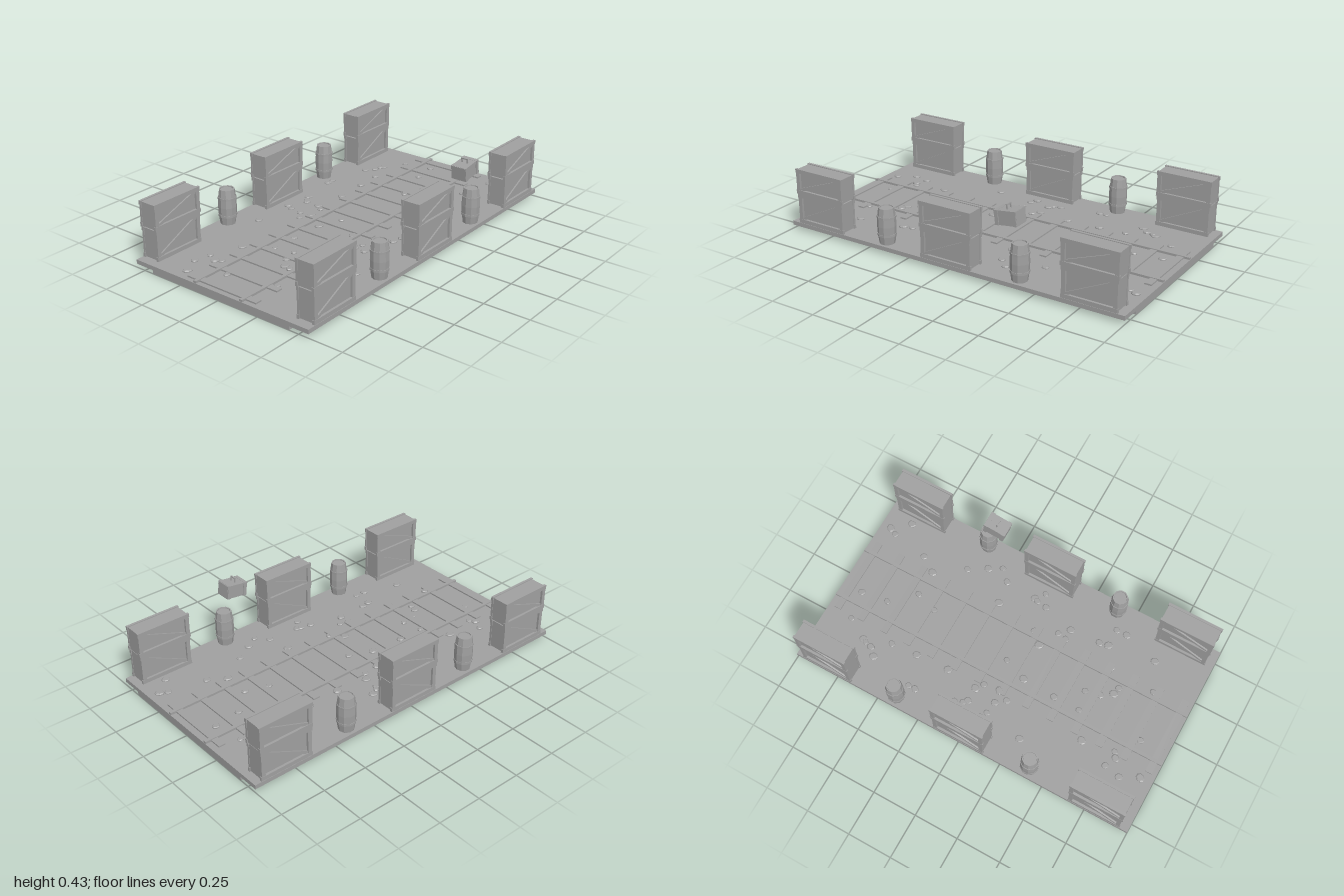
import * as THREE from 'three';

const grey = new THREE.MeshStandardMaterial({ color: 0xa0a0a0, flatShading: true });
grey.name = 'grey';

const FLOOR = 0.043;

function add(parent, name, geometry, x = 0, y = 0, z = 0) {
  const mesh = new THREE.Mesh(geometry, grey);
  mesh.name = name;
  mesh.position.set(x, y, z);
  parent.add(mesh);
  return mesh;
}
const box = (parent, name, w, h, d, x, y, z) => add(parent, name, new THREE.BoxGeometry(w, h, d), x, y, z);

// Crate standing on y = 0: solid core, framed long sides with a diagonal brace
function crate(h, w, d) {
  const g = new THREE.Group();
  g.name = 'crate';
  const t = 0.012, bar = 0.022;
  box(g, 'crateCore', w - 2 * t, h - 0.008, d - 0.01, 0, h / 2, 0);
  for (const s of [-1, 1]) {
    const x = s * (w / 2 - t / 2);
    for (const e of [-1, 1]) {
      box(g, 'cratePost', t, h - 0.012, bar, x, h / 2, e * (d / 2 - bar / 2 - 0.003));
      box(g, 'crateRail', t + 0.002, bar, d, x, h / 2 + e * (h / 2 - bar / 2), 0);
    }
    const run = d - 2 * bar, rise = h - 2 * bar;
    const brace = box(g, 'crateBrace', t * 0.7, 0.016, Math.hypot(run, rise), s * (w / 2 - t * 0.65), h / 2, 0);
    brace.rotation.x = Math.atan2(rise, run);
  }
  return g;
}

// Faceted barrel with a recessed lid and two hoops
function barrel() {
  const g = new THREE.Group();
  g.name = 'barrel';
  const profile = [[0, 0], [0.041, 0], [0.048, 0.05], [0.05, 0.098], [0.048, 0.147], [0.041, 0.197],
    [0.035, 0.197], [0.034, 0.191], [0, 0.191]];
  add(g, 'barrelBody', new THREE.LatheGeometry(profile.map(p => new THREE.Vector2(...p)), 10));
  for (const y of [0.05, 0.147]) {
    add(g, 'barrelHoop', new THREE.CylinderGeometry(0.0505, 0.0505, 0.012, 10), 0, y, 0);
  }
  return g;
}

// Small tilted case with lid, end bands and handle
function toolCase() {
  const g = new THREE.Group();
  g.name = 'case';
  box(g, 'caseBody', 0.08, 0.056, 0.122, 0, -0.01, 0);
  box(g, 'caseLid', 0.086, 0.018, 0.126, 0, 0.028, 0);
  for (const s of [-1, 1]) {
    box(g, 'caseBand', 0.09, 0.076, 0.02, 0, 0, s * 0.05);
    box(g, 'handlePost', 0.006, 0.024, 0.007, s * 0.016, 0.048, 0);
  }
  box(g, 'handleGrip', 0.038, 0.006, 0.008, 0, 0.06, 0);
  g.position.set(0.495, 0.363, -0.344);
  g.rotation.x = 0.13;
  return g;
}

// Stone positions, x and z in hundredths
const STONES = [
  -24, -85, -8, -88, 33, -94, 31, -90, 41, -85, -6, -73, 27, -69, 21, -60, 6, -60, -31, -73, -32, -71,
  -33, -67, -37, -63, -26, -58, -25, -43, -42, -38, -42, -34, -24, -24, 32, -44, 38, -34, 42, -27,
  36, -21, 23, -19, 2, -48, -38, -12, -36, -8, -34, -6, -26, -6, -22, -3, -39, 4, -35, 6, -28, 7,
  -21, 6, -24, 12, -39, 28, -4, 1, 18, 6, -9, 14, 34, -1, 35, -3, 40, 1, 33, 5, 12, 12, 22, 23,
  28, 23, 23, 18, 29, 40, 30, 45, 40, 45, 40, 51, 1, 46, 3, 54, 7, 60, 11, 61, 20, 52, -10, 48,
  -10, 33, -24, 57, -30, 74, -24, 77, -21, 75, -32, 83, -27, 93, -9, 84, 34, 71, 18, 78,
];

export function createModel() {
  const model = new THREE.Group();
  model.name = 'railPlatform';

  // Ground slab with a narrower foot
  box(model, 'groundSlab', 1.114, 0.023, 2, 0, 0.0315, 0);
  box(model, 'groundFoot', 0.886, 0.022, 2, 0, 0.011, 0);

  // Track
  const track = new THREE.Group();
  track.name = 'track';
  for (let i = 0; i < 14; i++) {
    box(track, 'sleeper', 0.445, 0.01, 0.038, -0.003, FLOOR + 0.003, -0.947 + i * 0.1463);
  }
  for (const s of [-1, 1]) box(track, 'rail', 0.018, 0.014, 1.996, s * 0.15 - 0.003, FLOOR + 0.005, 0);
  model.add(track);

  // Scattered flat stones
  const stones = new THREE.Group();
  stones.name = 'stones';
  const stoneGeometry = new THREE.LatheGeometry(
    [[0, -0.5], [1, -0.5], [1, 0.5], [0.75, 1], [0, 1]].map(p => new THREE.Vector2(...p)), 8);
  for (let i = 0; i < STONES.length; i += 2) {
    const k = i / 2;
    const stone = add(stones, 'stone', stoneGeometry, STONES[i] / 100, FLOOR, STONES[i + 1] / 100);
    const r = 0.016 + 0.007 * ((k * 7) % 5) / 5;
    stone.scale.set(r, 0.007 + 0.001 * (k % 3), r * 1.2);
    stone.rotation.y = Math.sin(k * 2.3) * 0.5;
  }
  model.add(stones);

  // Crate stacks and barrels along both sides
  for (const s of [-1, 1]) {
    for (const z of [-0.81, 0, 0.803]) {
      const lower = crate(0.167, 0.104, 0.302), upper = crate(0.14, 0.108, 0.31);
      lower.position.set(s * 0.502, FLOOR, z);
      upper.position.set(s * 0.502, FLOOR + 0.167, z);
      model.add(lower, upper);
    }
    for (const z of [-0.405, 0.4]) {
      const b = barrel();
      b.position.set(s * 0.502, FLOOR, z);
      model.add(b);
    }
  }

  model.add(toolCase());
  return model;
}
